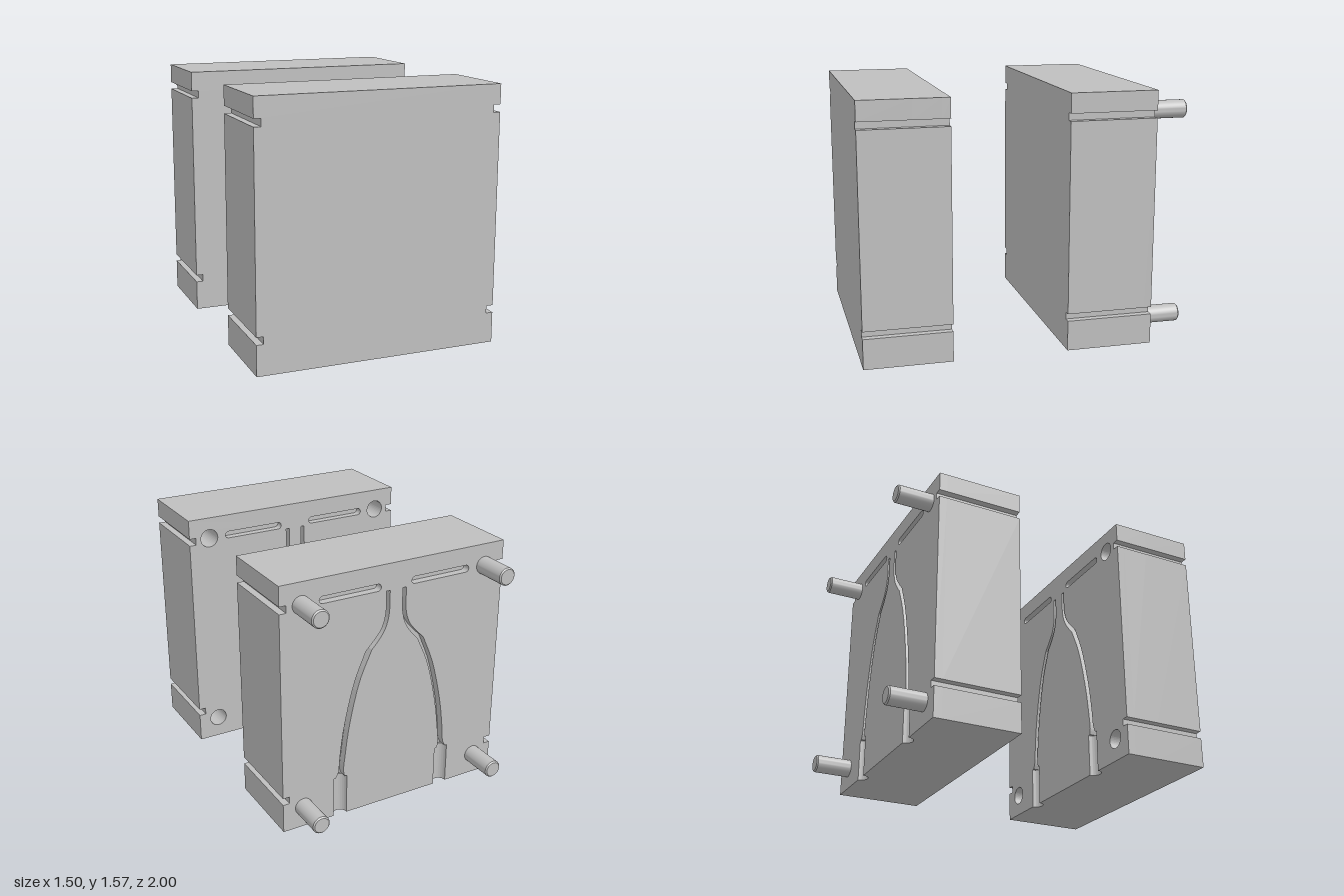
import * as THREE from 'three';
import { toCreasedNormals } from 'three/addons/utils/BufferGeometryUtils.js';

const W = 0.75, H = 1.57;            // half width and height of each block
const GROOVE = 0.05;                 // depth of slots and channels
const SOCKET_R = 0.046, SOCKET_X = 0.365, SOCKET_TOP = 0.26;
const PIN_X = 0.615, PIN_Y = [0.137, 1.435];
const NOTCH_Y = [[0.187, 0.232], [1.405, 1.45]], NOTCH_X = 0.707;

// Channel centre line, bottom to top: x, y, half width
const lower = [[0.365, 0.262, 0.03], [0.36, 0.3, 0.018], [0.348, 0.42, 0.018], [0.322, 0.6, 0.018],
  [0.254, 0.88, 0.018], [0.178, 1.06, 0.02]];
const upper = [[0.178, 1.06, 0.02], [0.135, 1.105, 0.019], [0.083, 1.175, 0.014], [0.058, 1.26, 0.012],
  [0.055, 1.405, 0.012]];
const spline = (pts) =>
  new THREE.CatmullRomCurve3(pts.map((p) => new THREE.Vector3(...p))).getPoints(16);
const channel = [...spline(lower), ...spline(upper).slice(1)];

// Channel plus bottom socket, as a detour of the bottom edge
function channelEdge(s) {
  const x = s * SOCKET_X;
  const left = channel.map((p) => [s * p.x - p.z, p.y]);
  const right = channel.map((p) => [s * p.x + p.z, p.y]).reverse();
  return [[x - SOCKET_R, 0], [x - SOCKET_R, SOCKET_TOP], ...left,
    ...right, [x + SOCKET_R, SOCKET_TOP], [x + SOCKET_R, 0]];
}

// Block outline with the side notches
function outline(grooved) {
  const side = [];
  for (const [a, b] of NOTCH_Y) side.push([W, a], [NOTCH_X, a], [NOTCH_X, b], [W, b]);
  const pts = [[-W, 0]];
  if (grooved) pts.push(...channelEdge(-1), ...channelEdge(1));
  pts.push([W, 0], ...side, [W, H], [-W, H], ...side.map(([x, y]) => [-x, y]).reverse());
  return new THREE.Shape(pts.map(([x, y]) => new THREE.Vector2(x, y)));
}

function addSlots(shape) {
  const r = 0.022, y = 1.437;
  for (const s of [-1, 1]) {
    const c = s * 0.303, half = 0.2 - r;
    const slot = new THREE.Path();
    slot.absarc(c + half, y, r, -Math.PI / 2, Math.PI / 2, false);
    slot.absarc(c - half, y, r, Math.PI / 2, Math.PI * 1.5, false);
    shape.holes.push(slot);
  }
}

function addPinHoles(shape) {
  for (const x of [-PIN_X, PIN_X]) for (const y of PIN_Y) {
    shape.holes.push(new THREE.Path().absarc(x, y, 0.058, 0, Math.PI * 2, false));
  }
}

export function createModel() {
  const model = new THREE.Group();
  const grey = new THREE.MeshStandardMaterial({ color: 0xbfbfbf });
  grey.name = 'grey';

  const add = (parent, name, geometry, x = 0, y = 0, z = 0) => {
    const mesh = new THREE.Mesh(geometry, grey);
    mesh.name = name;
    mesh.position.set(x, y, z);
    parent.add(mesh);
  };
  const layer = (parent, name, shape, z0, z1) =>
    add(parent, name, new THREE.ExtrudeGeometry(shape,
      { depth: z1 - z0, bevelEnabled: false, curveSegments: 20 }), 0, 0, z0);

  // Rounded lining of the bottom sockets
  const lining = new THREE.Shape();
  lining.moveTo(-SOCKET_R, 0).lineTo(-SOCKET_R, -GROOVE).lineTo(SOCKET_R, -GROOVE).lineTo(SOCKET_R, 0);
  lining.absarc(0, 0, SOCKET_R, 0, Math.PI, true);
  const liningGeometry = toCreasedNormals(new THREE.ExtrudeGeometry(lining,
    { depth: SOCKET_TOP, bevelEnabled: false, curveSegments: 20 }).rotateX(-Math.PI / 2), 0.6);

  // Mould half: grooved face layer, optional pin hole layer, solid body
  function mouldHalf(name, z0, z1, withHoles) {
    const half = new THREE.Group();
    half.name = name;
    model.add(half);
    const face = outline(true);
    addSlots(face);
    let z = z0 + GROOVE;
    if (withHoles) {
      addPinHoles(face);
      const holed = outline(false);
      addPinHoles(holed);
      layer(half, 'pinHoleLayer', holed, z, z0 + 0.22);
      z = z0 + 0.22;
    }
    layer(half, 'groovedFace', face, z0, z0 + GROOVE);
    layer(half, 'solidBody', outline(false), z, z1);
    for (const s of [-1, 1]) add(half, 'socketLining', liningGeometry, s * SOCKET_X, 0, z0);
    return half;
  }

  mouldHalf('frontHalf', 0.465, 1, true);
  const rear = mouldHalf('rearHalf', -0.775, -0.24, false);

  // Locating pins with a small chamfer
  const profile = [[0.055, 0], [0.055, 0.217], [0.047, 0.225], [0, 0.225]];
  const pin = toCreasedNormals(new THREE.LatheGeometry(
    profile.map(([x, y]) => new THREE.Vector2(x, y)), 40).rotateX(-Math.PI / 2), 0.5);
  for (const x of [-PIN_X, PIN_X]) for (const y of PIN_Y) add(rear, 'locatingPin', pin, x, y, -0.775);

  return model;
}
